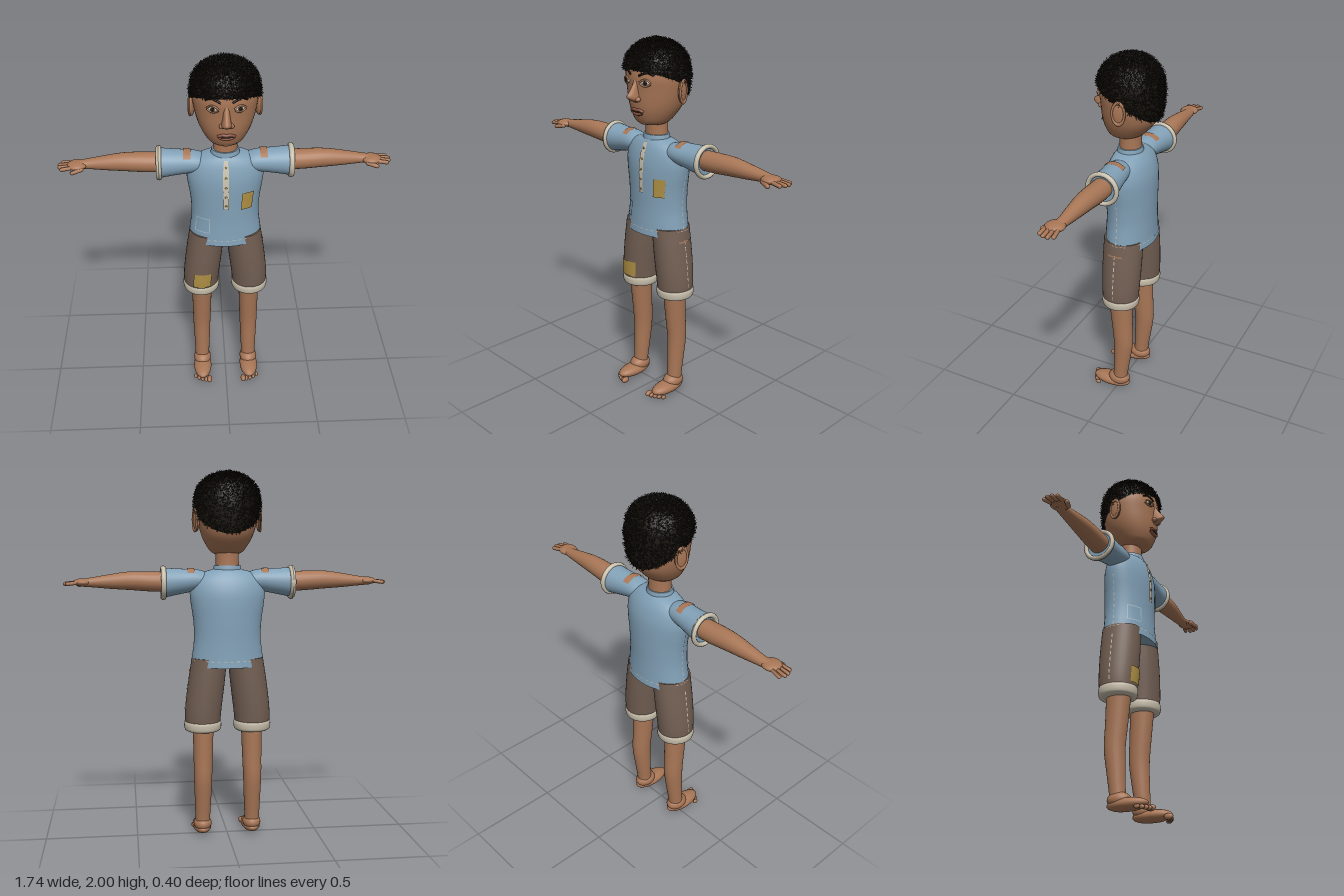
import * as THREE from 'three';
import { mergeGeometries } from 'three/addons/utils/BufferGeometryUtils.js';

const mat = (name, color, side = THREE.FrontSide) => {
  const m = new THREE.MeshStandardMaterial({ color, side });
  m.name = name;
  return m;
};
const skin = mat('skin', 0xa87656), shirt = mat('shirt blue', 0x82a1b7), pants = mat('trouser brown', 0x725f53);
const cream = mat('cream', 0xc8bfac), gold = mat('patch gold', 0xb09145), faded = mat('faded blue', 0xa3bccb);
const hair = mat('hair black', 0x17130e, THREE.DoubleSide), brown = mat('dark brown', 0x34281a, THREE.DoubleSide);
const white = mat('eye white', 0xd9d2c4), lip = mat('lip', 0x8a5443);

// Cross-sections are [y, centreX, centreZ, radiusX, radiusZ], blended smoothly along y
function sample(r, y) {
  let i = 0;
  while (i < r.length - 2 && y > r[i + 1][0]) i++;
  const h = r[i + 1][0] - r[i][0], t = (y - r[i][0]) / h;
  const slope = (k, c) => {
    const a = r[Math.max(k - 1, 0)], b = r[Math.min(k + 1, r.length - 1)];
    return (b[c] - a[c]) / (b[0] - a[0]);
  };
  return [1, 2, 3, 4].map(c => (2 * t ** 3 - 3 * t * t + 1) * r[i][c] + (t ** 3 - 2 * t * t + t) * h * slope(i, c)
    + (3 * t * t - 2 * t ** 3) * r[i + 1][c] + (t ** 3 - t * t) * h * slope(i + 1, c));
}
// Point on a lofted surface; angle a runs from the front (+z) towards +x
function onSurface(r, a, y, off = 0) {
  const [cx, cz, rx, rz] = sample(r, y);
  return new THREE.Vector3(cx + (rx + off) * Math.sin(a), y, cz + (rz + off) * Math.cos(a));
}
function loft(r, rows = 24, n = 32) {
  const y0 = r[0][0], y1 = r[r.length - 1][0], pos = [], idx = [];
  const ring = y => { for (let i = 0; i < n; i++) pos.push(...onSurface(r, i / n * Math.PI * 2, y)); };
  for (let j = 0; j <= rows; j++) ring(y0 + (y1 - y0) * (1 - Math.cos(Math.PI * j / rows)) / 2);
  for (let j = 0; j < rows; j++) for (let i = 0; i < n; i++) {
    const a = j * n + i, b = j * n + (i + 1) % n;
    idx.push(a, b, b + n, a, b + n, a + n);
  }
  for (const [y, top] of [[y0, false], [y1, true]]) {
    const s = pos.length / 3, [cx, cz] = sample(r, y);
    ring(y);
    pos.push(cx, y, cz);
    for (let i = 0; i < n; i++) {
      const k = s + (i + 1) % n;
      idx.push(s + n, ...(top ? [s + i, k] : [k, s + i]));
    }
  }
  const g = new THREE.BufferGeometry();
  g.setAttribute('position', new THREE.Float32BufferAttribute(pos, 3));
  g.setIndex(idx);
  g.computeVertexNormals();
  return g;
}
// Thin plate that follows a lofted surface
function plate(r, a0, a1, y0, y1, off = 0.004) {
  const g = new THREE.PlaneGeometry(1, 1, 8, 5), p = g.attributes.position;
  for (let i = 0; i < p.count; i++) {
    const v = onSurface(r, a0 + (a1 - a0) * (p.getX(i) + 0.5), y0 + (y1 - y0) * (p.getY(i) + 0.5), off);
    p.setXYZ(i, v.x, v.y, v.z);
  }
  g.computeVertexNormals();
  return g;
}
const ball = (x, y, z, sx, sy, sz) => new THREE.SphereGeometry(1, 24, 16).scale(sx, sy, sz).translate(x, y, z);
function finger(a, b, r) {
  const A = new THREE.Vector3(...a), B = new THREE.Vector3(...b), d = B.clone().sub(A);
  const q = new THREE.Quaternion().setFromUnitVectors(new THREE.Vector3(0, 1, 0), d.clone().normalize());
  return new THREE.CapsuleGeometry(r, d.length(), 5, 10).applyQuaternion(q).translate(...A.add(B).multiplyScalar(0.5));
}
const tube = (pts, r) => new THREE.TubeGeometry(new THREE.CatmullRomCurve3(pts), 16, r, 8);
function mirrored(g) {
  const m = g.clone().scale(-1, 1, 1), ix = m.index.array;
  for (let i = 0; i < ix.length; i += 3) [ix[i], ix[i + 1]] = [ix[i + 1], ix[i]];
  m.computeVertexNormals();
  return m;
}

const HEAD = [[1.548, 0, 0.015, 0.03, 0.03], [1.56, 0, 0.015, 0.075, 0.078], [1.6, 0, 0.005, 0.11, 0.115], [1.66, 0, -0.01, 0.14, 0.145],
  [1.74, 0, -0.016, 0.16, 0.156], [1.82, 0, -0.016, 0.167, 0.16], [1.9, 0, -0.018, 0.143, 0.135], [1.94, 0, -0.018, 0.08, 0.08], [1.955, 0, -0.018, 0.02, 0.02]];
const HAIR = [[1.64, 0, -0.012, 0.14, 0.15], [1.68, 0, -0.013, 0.155, 0.159], [1.74, 0, -0.015, 0.167, 0.165], [1.82, 0, -0.014, 0.173, 0.168],
  [1.9, 0, -0.014, 0.156, 0.148], [1.95, 0, -0.014, 0.112, 0.104], [1.975, 0, -0.014, 0.055, 0.05], [1.983, 0, -0.014, 0.004, 0.004]];
const NOSE = [[1.682, 0, 0.13, 0.014, 0.015], [1.697, 0, 0.138, 0.028, 0.038], [1.714, 0, 0.142, 0.024, 0.058], [1.74, 0, 0.135, 0.019, 0.045],
  [1.78, 0, 0.127, 0.016, 0.026], [1.815, 0, 0.125, 0.014, 0.012]];
const NECK = [[1.44, 0, -0.012, 0.066, 0.06], [1.53, 0, -0.012, 0.062, 0.057], [1.61, 0, -0.012, 0.064, 0.06]];
const TORSO = [[0.955, 0, -0.022, 0.2, 0.132], [1, 0, -0.022, 0.194, 0.128], [1.1, 0, -0.023, 0.182, 0.124], [1.2, 0, -0.023, 0.185, 0.124],
  [1.3, 0, -0.022, 0.199, 0.123], [1.36, 0, -0.021, 0.203, 0.117], [1.42, 0, -0.018, 0.187, 0.1], [1.457, 0, -0.014, 0.14, 0.08], [1.476, 0, -0.012, 0.075, 0.064]];
const COLLAR = [[1.462, 0, -0.011, 0.078, 0.069], [1.48, 0, -0.011, 0.075, 0.067], [1.497, 0, -0.011, 0.071, 0.064]];
const SHORTS = [[0.61, 0.137, -0.02, 0.094, 0.097], [0.7, 0.134, -0.02, 0.099, 0.104], [0.85, 0.117, -0.02, 0.1, 0.109], [1, 0.098, -0.02, 0.096, 0.108]];
const CUFF = [[0.596, 0.136, -0.02, 0.086, 0.088], [0.603, 0.136, -0.02, 0.097, 0.099], [0.626, 0.136, -0.02, 0.102, 0.104], [0.648, 0.136, -0.02, 0.099, 0.102], [0.656, 0.136, -0.02, 0.088, 0.09]];
const LEG = [[0.04, 0.138, -0.014, 0.04, 0.044], [0.1, 0.138, -0.018, 0.041, 0.042], [0.2, 0.137, -0.027, 0.045, 0.048], [0.33, 0.137, -0.036, 0.05, 0.056],
  [0.45, 0.135, -0.028, 0.053, 0.06], [0.64, 0.134, -0.015, 0.058, 0.068]];
// Sleeve and arm run sideways: the first number is x, the second is the drop below shoulder height
const SLEEVE = [[0.11, -0.005, -0.015, 0.045, 0.06], [0.17, -0.008, -0.016, 0.058, 0.068], [0.25, -0.002, -0.022, 0.067, 0.071], [0.345, 0.005, -0.028, 0.08, 0.08]];
const ARM = [[0.3, 0, -0.027, 0.052, 0.055], [0.4, -0.002, -0.027, 0.053, 0.056], [0.52, -0.007, -0.026, 0.049, 0.05], [0.62, -0.004, -0.026, 0.039, 0.04],
  [0.72, 0, -0.026, 0.026, 0.03], [0.78, 0.002, -0.02, 0.02, 0.032]];
const sideways = g => g.rotateZ(-Math.PI / 2).translate(0, 1.41, 0);

function hairline(a) { const c = Math.cos(a); return 1.78 + 0.09 * c - 0.025 * c * c; }
function hairCap() {
  const g = new THREE.PlaneGeometry(1, 1, 48, 20), p = g.attributes.position;
  for (let i = 0; i < p.count; i++) {
    const a = p.getX(i) * Math.PI * 2, t = Math.sin((p.getY(i) + 0.5) * Math.PI / 2);
    const v = onSurface(HAIR, a, hairline(a) + (1.983 - hairline(a)) * t);
    p.setXYZ(i, v.x, v.y, v.z);
  }
  g.computeVertexNormals();
  return g;
}
// Short frizzy tufts spread over the cap
function tufts(count, seed) {
  const rnd = () => (seed = (seed * 16807) % 2147483647) / 2147483647;
  const up = new THREE.Vector3(0, 1, 0), mid = new THREE.Vector3(0, 1.81, -0.014), list = [];
  const q = new THREE.Quaternion();
  for (let i = 0; i < count; i++) {
    const a = rnd() * Math.PI * 2, low = hairline(a), t = rnd();
    const v = onSurface(HAIR, a, low + (1.982 - low) * Math.sin(t * Math.PI / 2) ** 1.05);
    const d = v.clone().sub(mid).normalize();
    d.add(new THREE.Vector3(rnd() - 0.5, rnd() - 0.5, rnd() - 0.5).multiplyScalar(1.6)).normalize();
    const len = 0.012 + rnd() * 0.012;
    list.push(new THREE.ConeGeometry(0.0028, len, 3, 1, true).translate(0, len * 0.4, 0)
      .applyQuaternion(q.setFromUnitVectors(up, d)).translate(v.x, v.y, v.z));
  }
  return mergeGeometries(list);
}

export function createModel() {
  const model = new THREE.Group();
  model.name = 'barefootBoy';
  const add = (name, g, m) => {
    const mesh = new THREE.Mesh(g, m);
    mesh.name = name;
    model.add(mesh);
  };
  const pair = (name, g, m) => {
    add(name + 'Left', g, m);
    add(name + 'Right', mirrored(g), m);
  };

  // Head and hair
  add('head', loft(HEAD, 32, 40), skin);
  add('neck', loft(NECK, 8), skin);
  add('hairCap', hairCap(), hair);
  add('hairTufts', tufts(5500, 11), hair);
  add('hairBrownTufts', tufts(1100, 77), brown);
  add('nose', loft(NOSE, 16, 20), skin);
  pair('nostril', ball(0.022, 1.699, 0.146, 0.016, 0.013, 0.016), skin);
  pair('ear', ball(0, 0, 0, 0.014, 0.062, 0.036).rotateY(0.25).translate(0.167, 1.737, -0.028), skin);
  pair('earRim', new THREE.TorusGeometry(0.032, 0.006, 8, 24).scale(1, 1.75, 1).rotateY(Math.PI / 2 + 0.25).translate(0.175, 1.737, -0.03), skin);

  // Face
  const atEye = g => g.rotateY(0.4).translate(...onSurface(HEAD, 0.4, 1.787));
  const disc = (r, z) => new THREE.CylinderGeometry(r, r, 0.003, 20).rotateX(Math.PI / 2).translate(0, 0, z);
  pair('eyeWhite', atEye(ball(0, 0, 0, 0.029, 0.0145, 0.01)), white);
  pair('iris', atEye(disc(0.0115, 0.0095)), brown);
  pair('pupil', atEye(disc(0.005, 0.011)), hair);
  const lid = (y, bend) => tube([-0.031, -0.015, 0, 0.015, 0.031].map((x, i) => new THREE.Vector3(x, y + bend[i], 0.006)), 0.005);
  pair('upperLid', atEye(lid(0, [0.002, 0.013, 0.017, 0.014, 0.002])), skin);
  pair('lowerLid', atEye(lid(0, [-0.002, -0.012, -0.016, -0.012, -0.002])), skin);
  pair('eyebrow', tube([[0.17, 1.82], [0.3, 1.831], [0.47, 1.838], [0.66, 1.826]].map(([a, y]) => onSurface(HEAD, a, y, 0.002)), 0.0055), hair);
  const mouth = (pts, off) => pts.map(([a, y]) => onSurface(HEAD, a, y, off));
  add('upperLip', tube(mouth([[-0.34, 1.632], [-0.14, 1.642], [0, 1.64], [0.14, 1.642], [0.34, 1.632]], 0.003), 0.008), lip);
  add('lowerLip', tube(mouth([[-0.3, 1.629], [-0.14, 1.621], [0, 1.619], [0.14, 1.621], [0.3, 1.629]], 0.003), 0.009), lip);
  add('mouthLine', tube(mouth([[-0.32, 1.631], [0, 1.631], [0.32, 1.631]], 0.009), 0.003), brown);
  add('chin', ball(0, 1.582, 0.075, 0.045, 0.028, 0.034), skin);

  // Shirt
  add('shirtBody', loft(TORSO, 36, 40), shirt);
  add('collar', loft(COLLAR, 8), shirt);
  pair('sleeve', sideways(loft(SLEEVE, 16)), shirt);
  pair('sleeveCuff', new THREE.TorusGeometry(0.08, 0.012, 10, 32).scale(1, 1, 1.2).rotateY(Math.PI / 2).translate(0.345, 1.405, -0.028), cream);
  pair('shoulderTear', sideways(plate(SLEEVE, -2.45, -0.7, 0.18, 0.218)), skin);
  add('placket', plate(TORSO, -0.075, 0.075, 1.19, 1.462, 0.006), cream);
  for (let i = 0; i < 5; i++) {
    const v = onSurface(TORSO, 0, 1.21 + i * 0.055, 0.007);
    add('button', ball(v.x, v.y, v.z, 0.006, 0.006, 0.003), gold);
  }
  add('chestPatch', plate(TORSO, 0.43, 0.81, 1.18, 1.28, 0.007), gold);
  // Pocket outline
  for (const [a0, a1, y0, y1] of [[-1.03, -0.47, 1.03, 1.035], [-1.03, -0.47, 1.113, 1.119], [-1.03, -0.99, 1.03, 1.119], [-0.5, -0.47, 1.03, 1.119]])
    add('pocketEdge', plate(TORSO, a0, a1, y0, y1), faded);

  // Stitching on hem and side seams
  const dashes = [], seams = [];
  for (let i = 0; i < 36; i++) dashes.push(plate(TORSO, i * Math.PI / 18, i * Math.PI / 18 + 0.09, 0.988, 0.992, 0.003));
  for (let y = 1; y < 1.3; y += 0.035) seams.push(plate(TORSO, 1.55, 1.58, y, y + 0.02, 0.003));
  for (let y = 0.67; y < 0.93; y += 0.035) seams.push(plate(SHORTS, 1.54, 1.59, y, y + 0.022, 0.003));
  add('hemStitching', mergeGeometries(dashes), cream);
  pair('sideStitching', mergeGeometries(seams), cream);

  // Shorts
  pair('shortsLeg', loft(SHORTS, 14, 36), pants);
  pair('shortsCuff', loft(CUFF, 14, 36), cream);
  add('kneePatch', mirrored(plate(SHORTS, -0.52, 0.46, 0.66, 0.75, 0.006)), gold);
  add('hipTear', plate(SHORTS, 1.2, 1.95, 0.927, 0.935), skin);

  // Arms and hands
  pair('arm', sideways(loft(ARM, 20, 24)), skin);
  pair('palm', ball(0.768, 1.41, -0.015, 0.052, 0.021, 0.05), skin);
  [0.847, 0.86, 0.858, 0.845].forEach((x, i) => pair('finger', finger([0.79, 1.41, -0.045 + i * 0.02], [x, 1.403, -0.055 + i * 0.025], 0.0105), skin));
  pair('thumb', finger([0.745, 1.402, 0.022], [0.79, 1.394, 0.04], 0.012), skin);

  // Legs and feet
  pair('leg', loft(LEG, 22, 28), skin);
  const foot = ball(0.138, 0.038, 0.038, 0.052, 0.034, 0.113), fp = foot.attributes.position;
  for (let i = 0; i < fp.count; i++) fp.setY(i, Math.max(fp.getY(i), 0.008));
  foot.computeVertexNormals();
  pair('foot', foot, skin);
  pair('ankle', ball(0.138, 0.064, -0.008, 0.05, 0.042, 0.064), skin);
  [0.017, 0.0125, 0.012, 0.0115, 0.011].forEach((r, i) =>
    pair('toe', ball(0.1 + i * 0.0205, r + 0.002, 0.146 - i * i * 0.0022, r * 0.85, r, r * 1.5), skin));
  return model;
}
